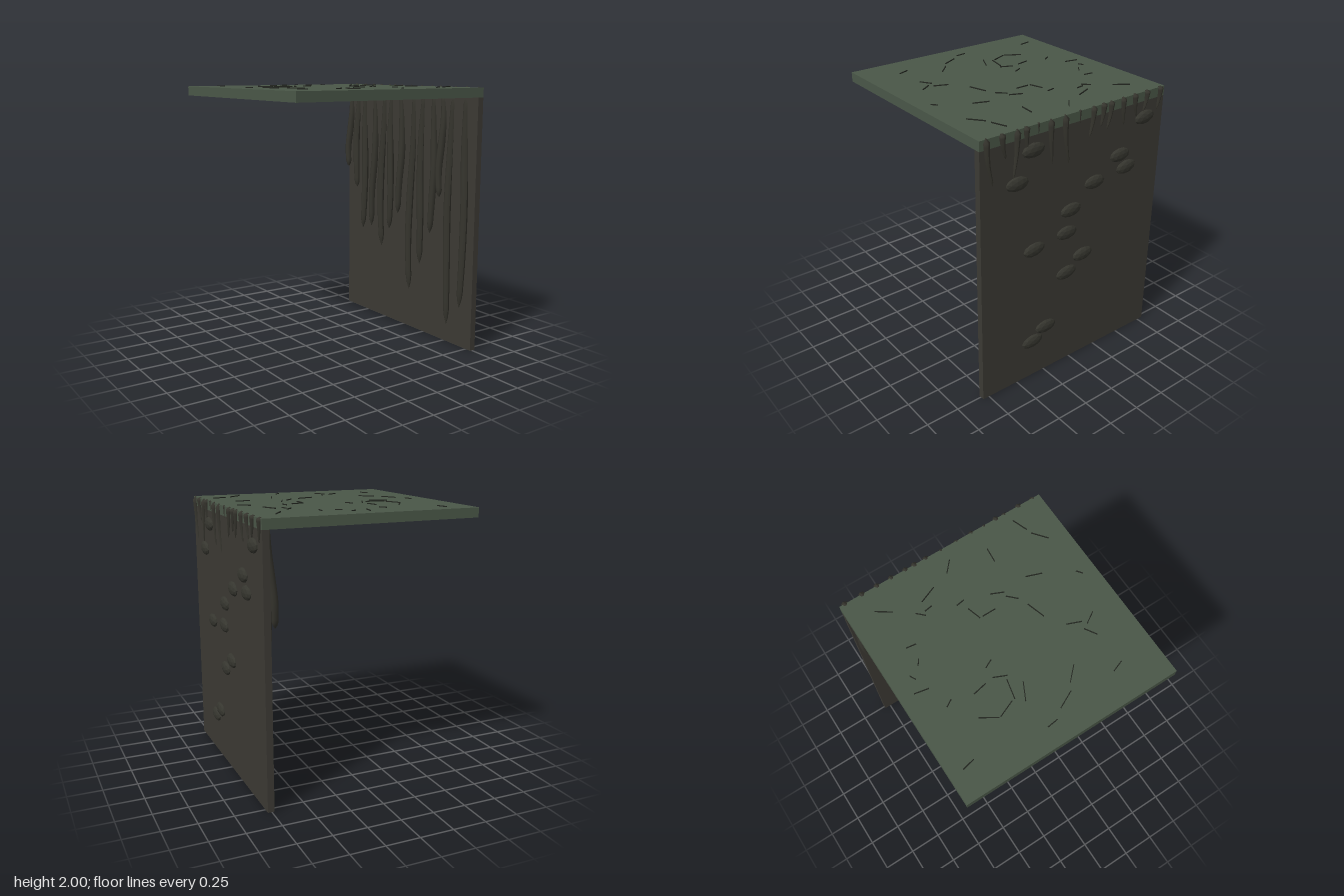
import * as THREE from 'three';

const flat = (name, color) => {
  const m = new THREE.MeshStandardMaterial({ color });
  m.name = name;
  return m;
};

// Tube along points whose radius follows radiusAt(t), closed to a point at both ends
function taperedTube(points, radiusAt, segments = 20, sides = 7) {
  const curve = new THREE.CatmullRomCurve3(points);
  const geo = new THREE.TubeGeometry(curve, segments, 1, sides);
  const pos = geo.attributes.position;
  const v = new THREE.Vector3();
  for (let i = 0; i < pos.count; i++) {
    const t = Math.floor(i / (sides + 1)) / segments;
    const c = curve.getPointAt(t);
    const r = t === 0 || t === 1 ? 0.001 : radiusAt(t);
    v.fromBufferAttribute(pos, i).sub(c).multiplyScalar(r).add(c);
    pos.setXYZ(i, v.x, v.y, v.z);
  }
  geo.computeVertexNormals();
  return geo;
}

export function createModel() {
  const model = new THREE.Group();
  model.name = 'mossyLedge';
  const moss = flat('moss green', 0x4a5748);
  const earth = flat('dark earth', 0x3c3a34);
  const rootMat = flat('root brown', 0x35342d);
  const stoneMat = flat('stone grey', 0x36362f);
  stoneMat.flatShading = true;
  const twigMat = flat('twig', 0x232620);

  const add = (parent, name, geo, mat, x = 0, y = 0, z = 0) => {
    const mesh = new THREE.Mesh(geo, mat);
    mesh.name = name;
    mesh.position.set(x, y, z);
    parent.add(mesh);
    return mesh;
  };
  const group = (name) => {
    const g = new THREE.Group();
    g.name = name;
    model.add(g);
    return g;
  };

  // Ground slab and the wall hanging from its edge
  add(model, 'groundSlab', new THREE.BoxGeometry(1.59, 0.07, 1.6), moss, -0.015, 1.955, 0);
  add(model, 'earthWall', new THREE.BoxGeometry(0.048, 1.92, 1.6), earth, 0.755, 0.96, 0);

  // Twigs on the slab: x and z of both ends
  const twigs = group('twigs');
  [
    [-.61, -.70, -.59, -.61], [-.02, -.70, -.04, -.60], [.06, -.64, .10, -.66], [.13, -.58, .17, -.55],
    [-.21, -.57, -.18, -.52], [.55, -.52, .62, -.62], [.28, -.58, .27, -.51], [.41, -.35, .46, -.40],
    [.51, -.32, .56, -.20], [.44, -.34, .45, -.28], [-.45, -.33, -.38, -.44], [-.45, -.32, -.40, -.20],
    [-.40, -.18, -.26, -.15], [-.24, -.13, -.20, -.22], [-.23, -.38, -.21, -.28], [-.45, -.13, -.33, -.07],
    [-.12, -.22, -.09, -.16], [.20, -.06, .30, -.09], [.20, -.04, .20, .06], [.36, -.14, .37, -.08],
    [.60, -.07, .68, 0], [-.67, -.11, -.66, -.03], [-.61, .03, -.55, .15], [-.50, .18, -.41, .27],
    [-.02, .30, .11, .26], [.18, .23, .24, .17], [.27, .18, .31, .09], [.25, .47, .29, .36],
    [-.19, .49, -.15, .39], [-.22, .51, -.17, .59], [-.32, .52, -.24, .47], [.45, .66, .55, .58],
    [.59, .57, .70, .53], [.50, .25, .61, .26], [-.59, .46, -.56, .54], [.10, .70, .14, .67],
  ].forEach(([x1, z1, x2, z2]) => {
    const len = Math.hypot(x2 - x1, z2 - z1);
    const twig = add(twigs, 'twig', new THREE.BoxGeometry(len, 0.008, 0.006), twigMat,
      (x1 + x2) / 2, 1.993, (z1 + z2) / 2);
    twig.rotation.y = -Math.atan2(z2 - z1, x2 - x1);
  });

  // Stones set in the outer face: z, y
  const stones = group('stones');
  [
    [.38, 1.82], [-.62, 1.80], [.51, 1.62], [-.40, 1.57], [-.47, 1.46], [-.17, 1.43], [.04, 1.28],
    [.36, 1.08], [.07, 1.11], [-.09, .88], [.06, .78], [.24, .39], [.36, .31],
  ].forEach(([z, y], i) => {
    const geo = new THREE.IcosahedronGeometry(1, 1);
    geo.rotateX(i * 1.3).rotateY(i * 0.7);
    geo.scale(0.028, 0.052, 0.093);
    const stone = add(stones, 'stone', geo, stoneMat, 0.78, y, z);
    stone.rotation.x = 0.06 * Math.sin(i * 2.1);
  });

  // Short roots over the outer edge: z at top, z at tip, y of tip
  const outerRoots = group('outerRoots');
  [
    [.75, .70, 1.66], [.63, .60, 1.82], [.51, .54, 1.66], [.44, .43, 1.83], [.34, .34, 1.92],
    [.24, .22, 1.68], [.12, .075, 1.64], [-.01, -.01, 1.90], [-.13, -.10, 1.78], [-.22, -.20, 1.83],
    [-.29, -.26, 1.80], [-.40, -.42, 1.79], [-.51, -.54, 1.82], [-.63, -.60, 1.84], [-.76, -.74, 1.83],
  ].forEach(([z0, z1, y1]) => {
    const r = y1 > 1.88 ? 0.01 : 0.027;
    const path = [0, 0.5, 1].map((t) => new THREE.Vector3(
      0.778, 1.998 + (y1 - 1.998) * t, z0 + (z1 - z0) * t * t));
    add(outerRoots, 'outerRoot', taperedTube(path, (t) => r * (1 - 0.75 * t), 12), rootMat);
  });

  // Long roots hanging down the inner face: z, y of tip
  const innerRoots = group('innerRoots');
  [
    [-.74, 1.27], [-.63, 1.10], [-.52, .75], [-.39, .79], [-.27, .64], [-.16, .80], [-.03, .95],
    [.11, .34], [.23, .58], [.37, .85], [.46, 1.15], [.56, .16], [.72, .33],
  ].forEach(([z, y1], i) => {
    const path = [0, 0.25, 0.5, 0.75, 1].map((t) => new THREE.Vector3(
      0.742 - 0.058 * Math.min(1, t * 1.15), 1.93 + (y1 - 1.93) * t,
      z - 0.04 * (1 - t) + 0.015 * Math.sin(i * 1.9 + t * 6)));
    const radius = (t) => (0.02 + 0.008 * Math.sin(t * 3)) * (t > 0.96 ? 0.7 : 1);
    add(innerRoots, 'innerRoot', taperedTube(path, radius, 30, 8), rootMat);
  });

  return model;
}
